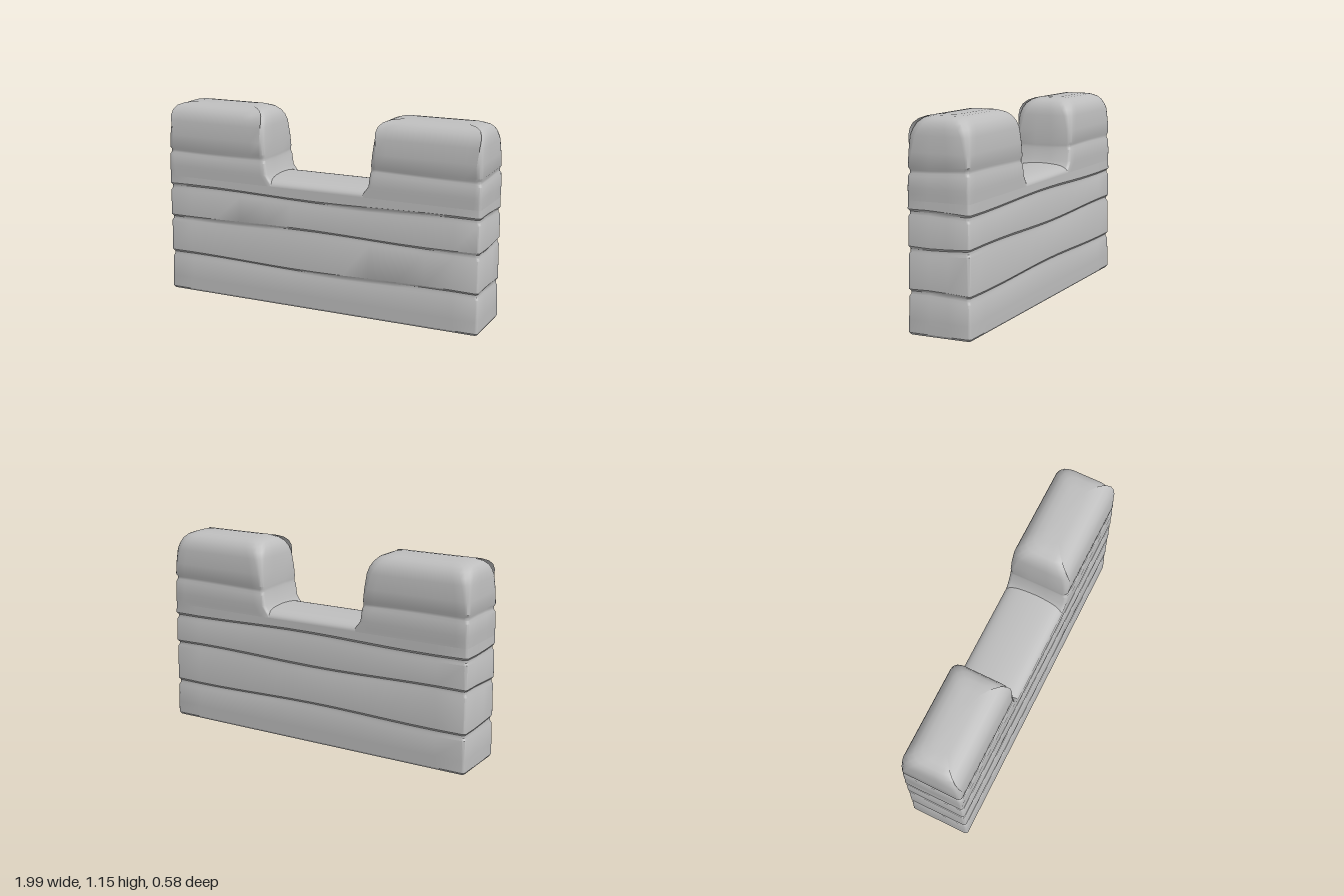
import * as THREE from 'three';
import { toCreasedNormals } from 'three/addons/utils/BufferGeometryUtils.js';

const HALF_LENGTH = 0.982;
const HALF_DEPTH = 0.182;

// Horizontal outline: rectangle with rounded corners, counter-clockwise from above.
function outline({ y, x0, x1, d, r, wave = 0 }) {
  const corners = [[x1, -d, 0], [x0, -d, 1], [x0, d, 2], [x1, d, 3]];
  const points = [];
  corners.forEach(([cx, cz, q], k) => {
    const sx = q === 0 || q === 3 ? 1 : -1;
    const sz = q < 2 ? -1 : 1;
    for (let i = 0; i <= 3; i++) {
      const a = (q + i / 3) * Math.PI / 2;
      points.push([cx - sx * r + r * Math.cos(a), cz - sz * r - r * Math.sin(a)]);
    }
    // Extra points along the straight sides let the courses undulate
    const next = corners[(k + 1) % 4];
    const steps = k % 2 === 0 ? 12 : 3;
    for (let i = 1; i < steps; i++) {
      const t = i / steps;
      const ends = k % 2 === 0
        ? [[cx - r, cz], [next[0] + r, next[1]]]
        : [[cx, cz + r * sz * -1], [next[0], next[1] - r * (next[1] > 0 ? 1 : -1)]];
      points.push([
        ends[0][0] + (ends[1][0] - ends[0][0]) * t,
        ends[0][1] + (ends[1][1] - ends[0][1]) * t,
      ]);
    }
  });
  return points.map(([x, z]) => [x, y + wave * Math.sin(x * 4 + z * 9 + y * 14), z]);
}

// Skin a stack of outlines and close both ends.
function loft(rings) {
  const loops = rings.map(outline);
  const n = loops[0].length;
  const pos = loops.flat(2);
  const index = [];
  for (let i = 0; i < loops.length - 1; i++) {
    for (let j = 0; j < n; j++) {
      const a = i * n + j, b = i * n + (j + 1) % n;
      index.push(a, b, b + n, a, b + n, a + n);
    }
  }
  const last = rings.length - 1;
  [0, last].forEach((i) => {
    const ring = rings[i];
    const centre = pos.length / 3;
    pos.push((ring.x0 + ring.x1) / 2, ring.y, 0);
    for (let j = 0; j < n; j++) {
      const a = i * n + j, b = i * n + (j + 1) % n;
      if (i === 0) index.push(centre, b, a);
      else index.push(centre, a, b);
    }
  });
  const geo = new THREE.BufferGeometry();
  geo.setAttribute('position', new THREE.Float32BufferAttribute(pos, 3));
  geo.setIndex(index);
  return toCreasedNormals(geo, 0.6);
}

// [height, inset] pairs for one shallow mortar groove
const groove = (y) => [[y - 0.022, 0.002], [y - 0.008, 0.009], [y + 0.008, 0.009], [y + 0.02, 0]];

export function createModel() {
  const model = new THREE.Group();
  model.name = 'battlementWall';
  const stone = new THREE.MeshStandardMaterial({ color: 0xbebebe });
  stone.name = 'grey stone';

  const add = (name, geometry) => {
    const mesh = new THREE.Mesh(geometry, stone);
    mesh.name = name;
    model.add(mesh);
  };

  // Wall body with three grooves between its courses
  const bodyRows = [[0, 0.006], [0.012, -0.002], [0.08, -0.001],
    ...groove(0.22), ...groove(0.455), ...groove(0.64), [0.71, 0.002]];
  add('wallBody', loft(bodyRows.map(([y, inset]) => ({
    y, x0: -HALF_LENGTH + inset, x1: HALF_LENGTH - inset, d: HALF_DEPTH - inset, r: 0.016,
    wave: y > 0.1 && y < 0.7 ? 0.007 : 0,
  }))));

  // Rounded sill between the merlons
  const sill = new THREE.Shape();
  const side = HALF_DEPTH - 0.002;
  sill.moveTo(-side, 0.705);
  sill.lineTo(side, 0.705);
  sill.lineTo(side, 0.715);
  sill.bezierCurveTo(side - 0.01, 0.748, 0.11, 0.758, 0, 0.76);
  sill.bezierCurveTo(-0.11, 0.758, -side + 0.01, 0.748, -side, 0.715);
  const sillGeo = new THREE.ExtrudeGeometry(sill, { depth: 0.74, bevelEnabled: false, curveSegments: 8 });
  sillGeo.translate(0, 0, -0.37);
  sillGeo.rotateY(Math.PI / 2);
  add('sill', toCreasedNormals(sillGeo, 0.6));

  // Merlons: [height, inner edge, outer inset, depth inset, corner radius]
  const merlonRows = [
    [0.71, 0.275, 0.002, 0.002, 0.016],
    [0.745, 0.30, 0.001, 0.001, 0.018],
    [0.775, 0.32, 0, 0, 0.02],
    [0.842, 0.328, 0.002, 0.002, 0.022],
    [0.857, 0.333, 0.009, 0.009, 0.022],
    [0.872, 0.333, 0.009, 0.009, 0.022],
    [0.888, 0.332, 0.001, 0.001, 0.025],
    [0.96, 0.337, 0.003, 0.002, 0.03],
    [1.045, 0.344, 0.006, 0.006, 0.045],
    [1.08, 0.352, 0.012, 0.015, 0.055],
    [1.11, 0.366, 0.022, 0.032, 0.06],
    [1.132, 0.388, 0.042, 0.058, 0.06],
    [1.145, 0.425, 0.075, 0.09, 0.055],
    [1.15, 0.48, 0.13, 0.13, 0.04],
  ];
  for (const s of [-1, 1]) {
    add(s < 0 ? 'rightMerlon' : 'leftMerlon', loft(merlonRows.map(([y, inner, outer, inset, r]) => {
      const ends = [s * inner, s * (HALF_LENGTH - outer)];
      return {
        y, r, x0: Math.min(...ends), x1: Math.max(...ends), d: HALF_DEPTH - inset,
        wave: y > 0.83 && y < 0.9 ? 0.006 : 0,
      };
    })));
  }

  // The wall stands slightly turned
  model.rotation.y = 0.113;
  return model;
}
